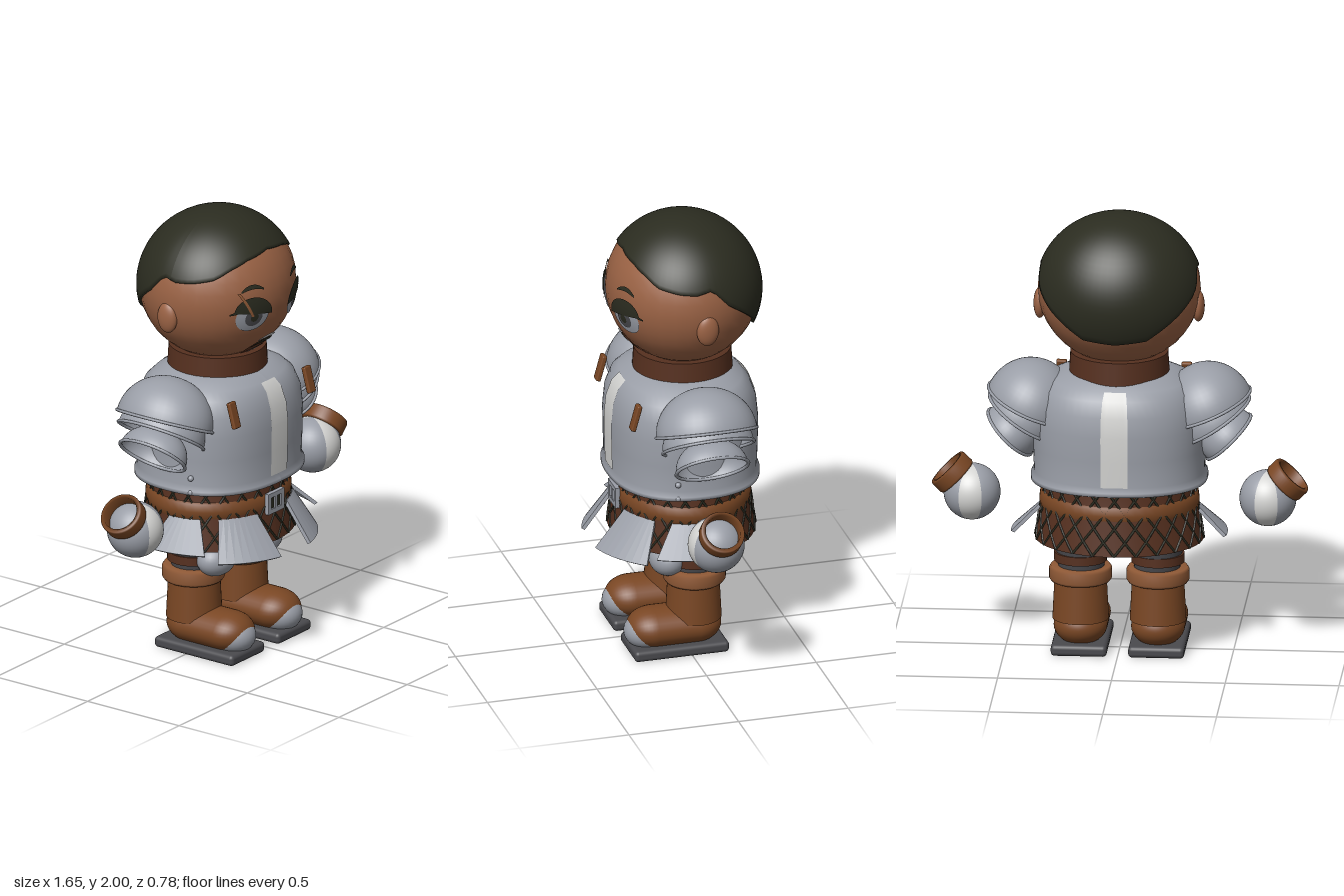
import * as THREE from 'three';
import { RoundedBoxGeometry } from 'three/addons/geometries/RoundedBoxGeometry.js';

const mat = (name, color) => new THREE.MeshStandardMaterial({ name, color, side: THREE.DoubleSide });
const SKIN = mat('skin', 0x9a6244), HAIR = mat('hair black', 0x2b2c20), STEEL = mat('steel', 0x9a9ea7);
const SHINE = mat('polished steel', 0xd4d4d2), LEATHER = mat('leather', 0x7a4724), TAN = mat('tan leather', 0x8f5936);
const MAROON = mat('dark brown cloth', 0x56301f), COAL = mat('charcoal', 0x4a4a4e);

const HEAD = { y: 1.662, z: -0.035, rx: 0.358, ry: 0.335, rz: 0.338 };
const { sin, cos, PI } = Math;

// Moves every vertex of a geometry by a rule that edits the vector it is given
function warp(geo, rule) {
  const p = geo.attributes.position, v = new THREE.Vector3();
  for (let i = 0; i < p.count; i++) {
    v.fromBufferAttribute(p, i);
    rule(v, i);
    p.setXYZ(i, v.x, v.y, v.z);
  }
  geo.computeVertexNormals();
  return geo;
}

const lathe = (pts, seg = 48, start = 0, len = PI * 2) =>
  new THREE.LatheGeometry(pts.map(([r, y]) => new THREE.Vector2(r, y)), seg, start, len);

// Turned body squared off a little in plan
function bodyShell(pts, rx, rz, z, power, seg, start, len) {
  return warp(lathe(pts, seg, start, len), v => {
    const a = Math.atan2(v.x, v.z);
    const k = (Math.abs(sin(a)) ** power + Math.abs(cos(a)) ** power) ** (-1 / power);
    v.set(v.x * k * rx, v.y, v.z * k * rz + z);
  });
}

// Lays a flat geometry on the front of the head
function onFace(geo, rule, lift) {
  return warp(geo, v => {
    rule(v);
    const d = 1 - (v.x / HEAD.rx) ** 2 - ((v.y - HEAD.y) / HEAD.ry) ** 2;
    v.z = HEAD.z + HEAD.rz * Math.sqrt(Math.max(d, 0)) + lift;
  });
}

export function createModel() {
  const model = new THREE.Group();
  model.name = 'armouredFigure';
  const add = (name, geo, material, x = 0, y = 0, z = 0, rx = 0, rz = 0) => {
    const m = new THREE.Mesh(geo, material);
    m.name = name;
    m.position.set(x, y, z);
    m.rotation.set(rx, 0, rz);
    model.add(m);
    return m;
  };
  const ball = (rx, ry, rz) => new THREE.SphereGeometry(1, 32, 20).scale(rx, ry, rz);
  const tube = (top, bottom, h) => new THREE.CylinderGeometry(top, bottom, h, 36);
  const spot = (name, x, y, rx, ry, lift, material, start = 0, len = PI * 2, tilt = 0) =>
    add(name, onFace(new THREE.RingGeometry(0, 1, 28, 5, start, len), v =>
      v.set(x + v.x * rx, y + v.y * ry + v.x * tilt, 0), lift), material);
  const stroke = (name, x, y, w, h, bend, lift, material, tilt = 0) =>
    add(name, onFace(new THREE.PlaneGeometry(2, 1, 12, 1), v =>
      v.set(x + v.x * w, y + v.y * h * (1 - 0.6 * v.x * v.x) - bend * v.x * v.x + v.x * tilt, 0), lift), material);

  // Head and neck
  add('head', ball(HEAD.rx, HEAD.ry, HEAD.rz), SKIN, 0, HEAD.y, HEAD.z);
  add('neck', tube(0.215, 0.222, 0.12), MAROON, 0, 1.315, -0.035);

  // Hair cap, cut along a hairline given as [degrees from the front, height]
  const line = [[0, 1.87], [25, 1.85], [42, 1.82], [54, 1.785], [72, 1.765], [85, 1.76], [97, 1.775],
    [110, 1.69], [131, 1.6], [155, 1.5], [180, 1.485]];
  const hairline = deg => {
    let i = 1;
    while (i < line.length - 1 && deg > line[i][0]) i++;
    const [a, ya] = line[i - 1], [b, yb] = line[i];
    return ya + (yb - ya) * (deg - a) / (b - a);
  };
  const cap = new THREE.SphereGeometry(1, 72, 24, 0, PI * 2, 0, 3);
  const uv = cap.attributes.uv;
  add('hair', warp(cap, (v, i) => {
    const phi = uv.getX(i) * 2 * PI, down = 1 - uv.getY(i);
    const x = -cos(phi), z = sin(phi);
    const edge = hairline(Math.abs(Math.atan2(x, z)) * 180 / PI);
    const t = Math.min(down * 1.04, 1) * Math.acos((edge - 1.655) / 0.345);
    const k = down > 0.99 ? 0.95 : 1; // last row turns in under the edge
    v.set(x * sin(t) * 0.368 * k, 1.655 + cos(t) * 0.345 * k, HEAD.z + z * sin(t) * 0.35 * k);
  }), HAIR);

  // Mouth and beard
  spot('beard', 0, 1.405, 0.08, 0.052, 0.004, MAROON);
  spot('lowerTeeth', 0, 1.385, 0.042, 0.018, 0.008, STEEL);
  stroke('upperTeeth', 0, 1.468, 0.06, 0.02, 0.012, 0.006, SHINE);
  stroke('moustache', 0, 1.447, 0.072, 0.024, 0.025, 0.008, HAIR);
  stroke('mouthLine', 0, 1.41, 0.045, 0.016, 0.012, 0.008, HAIR);
  add('scar', onFace(new THREE.PlaneGeometry(0.012, 0.115, 1, 6), v =>
    v.set(v.x - 0.185 - v.y * 0.5, v.y + 1.665, 0), 0.013), TAN);

  // Breastplate with polished stripes front and back
  const plate = [[0.96, 0.79], [1, 0.795], [1, 0.812], [0.965, 0.835], [0.975, 0.95], [0.98, 1.06],
    [0.955, 1.15], [0.88, 1.22], [0.78, 1.255], [0.62, 1.285], [0.5, 1.29]];
  add('breastplate', bodyShell([[0, 0.8], ...plate], 0.388, 0.335, -0.025, 2.35, 64), STEEL);
  const band = plate.slice(3, 9).map(([r, y]) => [r + 0.012, y]);
  for (const [name, a] of [['frontStripe', 0], ['backStripe', PI]])
    add(name, bodyShell(band, 0.388, 0.335, -0.025, 2.35, 6, a - 0.155, 0.31), SHINE);

  // Quilted skirt with a diamond lattice
  const skirtR = y => 0.335 + Math.max(0, 0.74 - y) * 0.16;
  const onSkirt = (a, y) => new THREE.Vector3(skirtR(y) * sin(a), y, skirtR(y) * 0.87 * cos(a) - 0.03);
  add('skirt', bodyShell([[0.37, 0.518], [0.335, 0.74], [0.33, 0.82]], 1, 0.87, -0.03, 2), MAROON);
  const lattice = new THREE.Group();
  lattice.name = 'skirtLattice';
  model.add(lattice);
  for (let i = 0; i < 24; i++) for (const s of [-1, 1]) {
    const pts = [];
    for (let j = 0; j <= 6; j++) pts.push(onSkirt((i + s * j * 0.37) * PI / 12, 0.52 + j * 0.045));
    const m = new THREE.Mesh(new THREE.TubeGeometry(new THREE.CatmullRomCurve3(pts), 10, 0.0055, 4), HAIR);
    m.name = 'latticeStitch';
    lattice.add(m);
  }

  // Belt and buckle
  add('belt', bodyShell([[0.33, 0.652], [0.347, 0.66], [0.352, 0.697], [0.347, 0.732], [0.33, 0.742]],
    1, 0.86, -0.03, 2), LEATHER);
  const frame = new THREE.Shape().moveTo(-0.058, -0.048).lineTo(0.058, -0.048).lineTo(0.058, 0.048).lineTo(-0.058, 0.048);
  frame.holes.push(new THREE.Path().moveTo(-0.036, -0.027).lineTo(-0.036, 0.027).lineTo(0.036, 0.027).lineTo(0.036, -0.027));
  add('buckle', new THREE.ExtrudeGeometry(frame, { depth: 0.02, bevelEnabled: false }), STEEL, 0, 0.696, 0.267);
  add('buckleInset', new THREE.BoxGeometry(0.075, 0.056, 0.008), HAIR, 0, 0.696, 0.274);
  add('bucklePin', new THREE.BoxGeometry(0.014, 0.06, 0.012), STEEL, 0, 0.696, 0.281);

  // Flared hip plate between two angles of the belt
  const hipPlate = (name, mid, half, r, bottom) =>
    add(name, warp(new THREE.BoxGeometry(2, 1, 1, 8, 1, 1).toNonIndexed(), v => {
      const t = 0.5 - v.y, a = mid + v.x * half * (0.8 + 0.2 * t);
      const out = v.z * 0.014, rx = 0.342 + (r - 0.342) * t + out, rz = 0.3 + (r - 0.3) * t + out;
      v.set(rx * sin(a), 0.66 + (bottom - 0.66) * t + out * 0.6, rz * cos(a) - 0.03);
    }), STEEL);

  for (const s of [-1, 1]) {
    const side = s > 0 ? 'left' : 'right';

    // Eye, lid, brow and ear
    const ex = s * 0.145;
    spot(side + 'Eye', ex, 1.605, 0.076, 0.072, 0.004, STEEL);
    spot(side + 'Iris', ex, 1.6, 0.04, 0.042, 0.007, COAL);
    spot(side + 'Pupil', ex, 1.6, 0.018, 0.02, 0.0095, HAIR);
    spot(side + 'Eyelid', ex, 1.618, 0.088, 0.078, 0.0105, HAIR, 0, PI, s * 0.014);
    stroke(side + 'Lash', s * 0.225, 1.635, 0.024, 0.014, 0, 0.011, HAIR, -s * 0.008);
    stroke(side + 'Brow', s * 0.148, 1.742, 0.052, 0.02, 0.018, 0.006, HAIR);
    add(side + 'Ear', ball(0.028, 0.07, 0.05), SKIN, s * 0.348, 1.588, -0.05);

    // Shoulder dome and two lames: centre, radius, depth scale, tilt
    const lames = [['Pauldron', 0.39, 1.12, 0.2, 1.12, 0.4], ['UpperLame', 0.42, 1.062, 0.18, 1.13, 0.58],
      ['LowerLame', 0.481, 0.985, 0.133, 1.22, 0.77]];
    for (const [name, x, y, r, k, tilt] of lames) {
      add(side + name, new THREE.SphereGeometry(r, 40, 14, 0, PI * 2, 0, PI / 2).scale(1, 1, k), STEEL,
        s * x, y, -0.032, 0, s * tilt);
      add(side + name + 'Rim', new THREE.TorusGeometry(r, 0.007, 8, 40).rotateX(PI / 2).scale(1, 1, k), STEEL,
        s * x, y, -0.032, 0, s * tilt);
    }

    // Chest strap and side rivets
    add(side + 'Strap', new RoundedBoxGeometry(0.046, 0.12, 0.022, 2, 0.006), LEATHER, s * 0.275, 1.178, 0.258, -0.27);
    for (const y of [0.87, 0.805]) add(side + 'Rivet', ball(0.013, 0.013, 0.013), STEEL, s * 0.365, y, 0.09);

    // Hand with a polished band front and back, and its cuff
    for (let q = 0; q < 4; q++) {
      const w = q % 2 ? PI / 2 - 0.42 : 0.42;
      add(side + 'Hand', new THREE.SphereGeometry(0.125, 14, 24, PI / 2 + q * PI / 2 - w, 2 * w),
        q % 2 ? STEEL : SHINE, s * 0.65, 0.7, 0);
    }
    add(side + 'Cuff', lathe([[0.078, -0.032], [0.094, -0.032], [0.098, -0.024], [0.098, 0.024], [0.094, 0.032],
      [0.078, 0.032], [0.078, -0.032]]), LEATHER, s * 0.737, 0.785, 0, 0, -s * PI / 4);

    hipPlate(side + 'FrontHipPlate', s * 0.59, 0.345, 0.43, 0.49);
    hipPlate(side + 'SideHipPlate', s * 1.36, 0.3, 0.468, 0.54);

    // Leg, knee strap and knee cap
    const lx = s * 0.17;
    add(side + 'Leg', tube(0.15, 0.097, 0.36), COAL, lx * 0.98, 0.54, -0.04);
    add(side + 'KneeStrap', tube(0.116, 0.116, 0.04), MAROON, lx, 0.432, -0.04);
    add(side + 'KneeCap', ball(0.1, 0.076, 0.08), STEEL, lx, 0.435, 0.085);

    // Boot
    add(side + 'BootCuff', lathe([[0.09, 0.32], [0.13, 0.32], [0.138, 0.332], [0.138, 0.376], [0.13, 0.388], [0.09, 0.388]]),
      TAN, lx, 0, -0.04);
    add(side + 'BootShaft', tube(0.114, 0.124, 0.2), LEATHER, lx, 0.245, -0.036);
    add(side + 'Foot', new THREE.CapsuleGeometry(0.118, 0.19, 12, 32).rotateX(PI / 2).scale(1, 0.75, 1), LEATHER,
      lx, 0.115, 0.055);
    add(side + 'ToeCap', ball(0.096, 0.08, 0.1), STEEL, lx, 0.1, 0.18);
    add(side + 'Sole', new RoundedBoxGeometry(0.246, 0.05, 0.43, 3, 0.018), COAL, lx, 0.025, 0.048);
  }
  return model;
}
